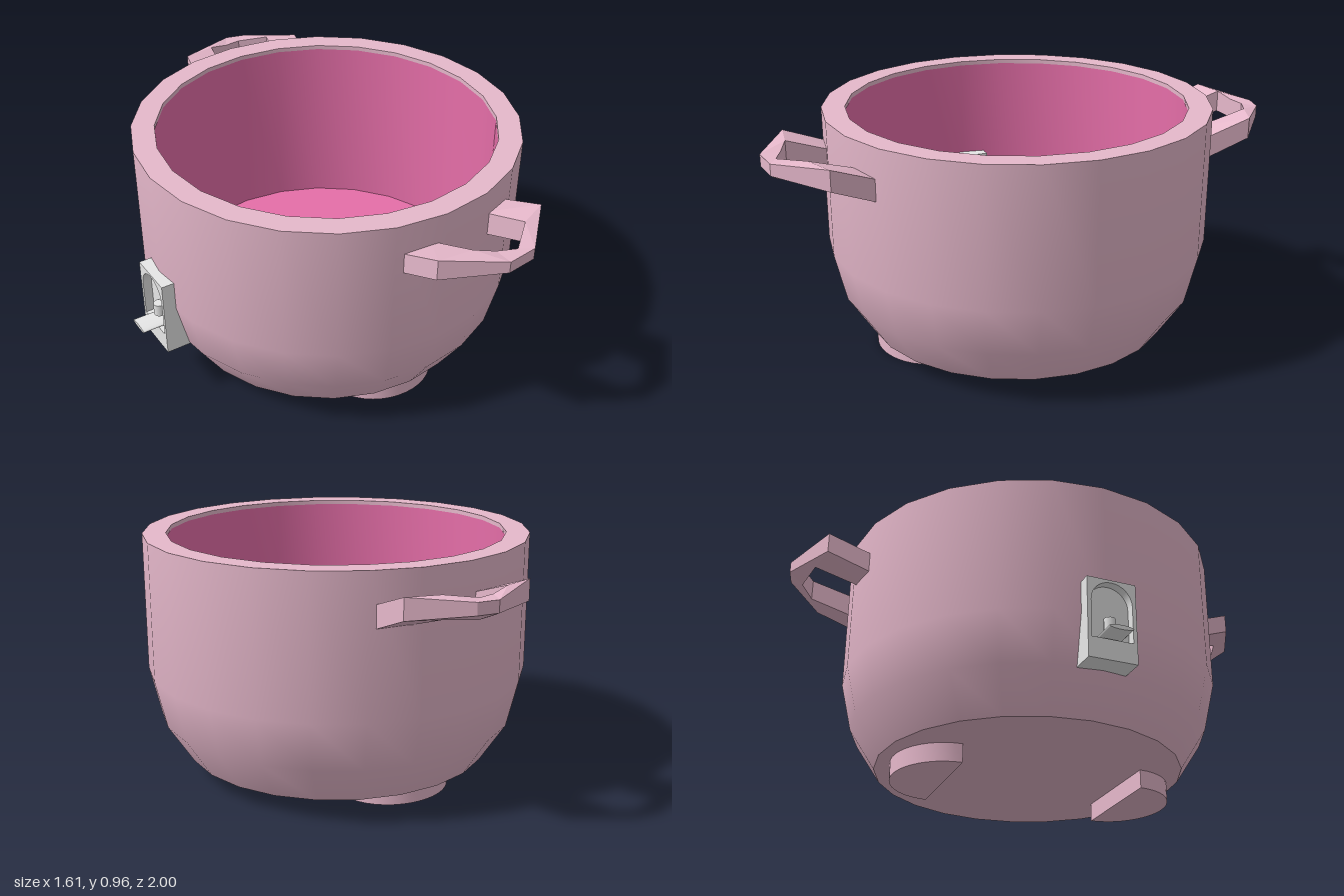
import * as THREE from 'three';
import { toCreasedNormals } from 'three/addons/utils/BufferGeometryUtils.js';

const CX = 0.053, CZ = -0.01; // centre of the bowl

const material = (name, color, side = THREE.FrontSide) => {
  const m = new THREE.MeshStandardMaterial({ color, side });
  m.name = name;
  return m;
};

// Strip with a four-sided section; stations are [outerX, outerZ, innerX, innerZ, yTop, yOuterBottom, yInnerBottom]
function stripGeometry(stations) {
  const rings = stations.map(([ox, oz, ix, iz, t, bo, bi]) => [
    [ox, t, oz], [ix, t, iz], [ix, bi, iz], [ox, bo, oz],
  ]);
  const pos = [];
  const quad = (a, b, c, d) => pos.push(...a, ...b, ...c, ...a, ...c, ...d);
  for (let i = 0; i < rings.length - 1; i++) {
    for (let k = 0; k < 4; k++) {
      const n = (k + 1) % 4;
      const corners = [rings[i][k], rings[i + 1][k], rings[i + 1][n], rings[i][n]];
      // the split always runs from the inner bend to the outer tip
      if (i < 2 === (k < 2)) corners.push(corners.shift());
      quad(...corners);
    }
  }
  const last = rings[rings.length - 1];
  quad(...rings[0]);
  quad(last[3], last[2], last[1], last[0]);
  const g = new THREE.BufferGeometry();
  g.setAttribute('position', new THREE.Float32BufferAttribute(pos, 3));
  g.computeVertexNormals();
  return g;
}

export function createModel() {
  const group = new THREE.Group();
  const pale = material('palePink', 0xe6b8cb);
  const paleBoth = material('handlePink', 0xe6b8cb, THREE.DoubleSide);
  const deep = material('deepPink', 0xe56ea8);
  const grey = material('lightGrey', 0xe8e8e8);

  const add = (name, geometry, mat, x = 0, y = 0, z = 0) => {
    const mesh = new THREE.Mesh(geometry, mat);
    mesh.name = name;
    mesh.position.set(x, y, z);
    group.add(mesh);
    return mesh;
  };
  const lathe = (points) => toCreasedNormals(
    new THREE.LatheGeometry(points.map(([r, y]) => new THREE.Vector2(r, y)), 24), 0.5);

  // Bowl shell with flat rim, and its coloured lining
  add('bowl', lathe([[0.001, 0.073], [0.605, 0.073], [0.706, 0.23], [0.75, 0.42],
    [0.75, 0.957], [0.66, 0.957], [0.66, 0.94]]), pale, CX, 0, CZ);
  add('lining', lathe([[0.66, 0.94], [0.66, 0.22], [0.001, 0.22]]), deep, CX, 0, CZ);

  // Half-round feet, curved side outwards
  for (const s of [1, -1]) {
    const shape = new THREE.Shape();
    shape.absellipse(0, 0, 0.228, 0.205, 0, Math.PI, false);
    const g = new THREE.ExtrudeGeometry(shape, { depth: 0.08, bevelEnabled: false, curveSegments: 10 });
    g.rotateX(Math.PI / 2);
    if (s < 0) g.rotateY(Math.PI);
    add(s > 0 ? 'frontFoot' : 'backFoot', toCreasedNormals(g, 0.6), pale, CX, 0.08, s > 0 ? 0.372 : -0.357);
  }

  // Angular loop handles
  add('frontHandle', stripGeometry([
    [-0.11, 0.70, 0.02, 0.70, 0.83, 0.75, 0.75],
    [-0.09, 0.875, 0.045, 0.89, 0.90, 0.82, 0.815],
    [0.12, 0.995, 0.12, 0.921, 0.885, 0.84, 0.81],
    [0.24, 0.98, 0.19, 0.95, 0.885, 0.84, 0.81],
    [0.42, 0.81, 0.30, 0.86, 0.90, 0.82, 0.815],
    [0.40, 0.65, 0.275, 0.67, 0.84, 0.755, 0.75],
  ]), paleBoth);
  add('backHandle', stripGeometry([
    [-0.11, -0.72, 0.02, -0.72, 0.83, 0.75, 0.75],
    [-0.09, -0.90, 0.04, -0.92, 0.90, 0.82, 0.815],
    [0.16, -1.0, 0.12, -0.932, 0.885, 0.84, 0.81],
    [0.24, -0.98, 0.19, -0.94, 0.885, 0.84, 0.81],
    [0.42, -0.83, 0.30, -0.88, 0.90, 0.82, 0.815],
    [0.40, -0.67, 0.275, -0.69, 0.84, 0.755, 0.75],
  ]), paleBoth);

  // Dispenser on the right side: frame with a tall arched niche, backing block, spout and lever
  const frame = new THREE.Shape();
  frame.moveTo(-0.095, 0.225);
  frame.lineTo(0.095, 0.225);
  frame.lineTo(0.095, 0.54);
  frame.lineTo(-0.095, 0.54);
  frame.closePath();
  const niche = new THREE.Path();
  niche.moveTo(-0.08, 0.305);
  niche.lineTo(-0.08, 0.45);
  niche.absarc(0, 0.45, 0.08, Math.PI, 0, true);
  niche.lineTo(0.08, 0.305);
  niche.closePath();
  frame.holes.push(niche);
  const frameGeometry = new THREE.ExtrudeGeometry(frame, { depth: 0.095, bevelEnabled: false, curveSegments: 8 });
  frameGeometry.rotateY(-Math.PI / 2);
  add('dispenserFrame', toCreasedNormals(frameGeometry, 0.6), grey, -0.64, 0, CZ);
  add('dispenserBlock', new THREE.BoxGeometry(0.15, 0.315, 0.19), grey, -0.625, 0.3825, CZ);
  add('spout', new THREE.CylinderGeometry(0.022, 0.022, 0.05, 10), grey, -0.712, 0.37, CZ);
  const lever = add('lever', new THREE.CylinderGeometry(0.047, 0.047, 0.12, 14), grey, -0.745, 0.32, CZ);
  lever.rotation.z = Math.PI / 2;
  lever.scale.x = 0.18; // flattened vertically

  return group;
}
